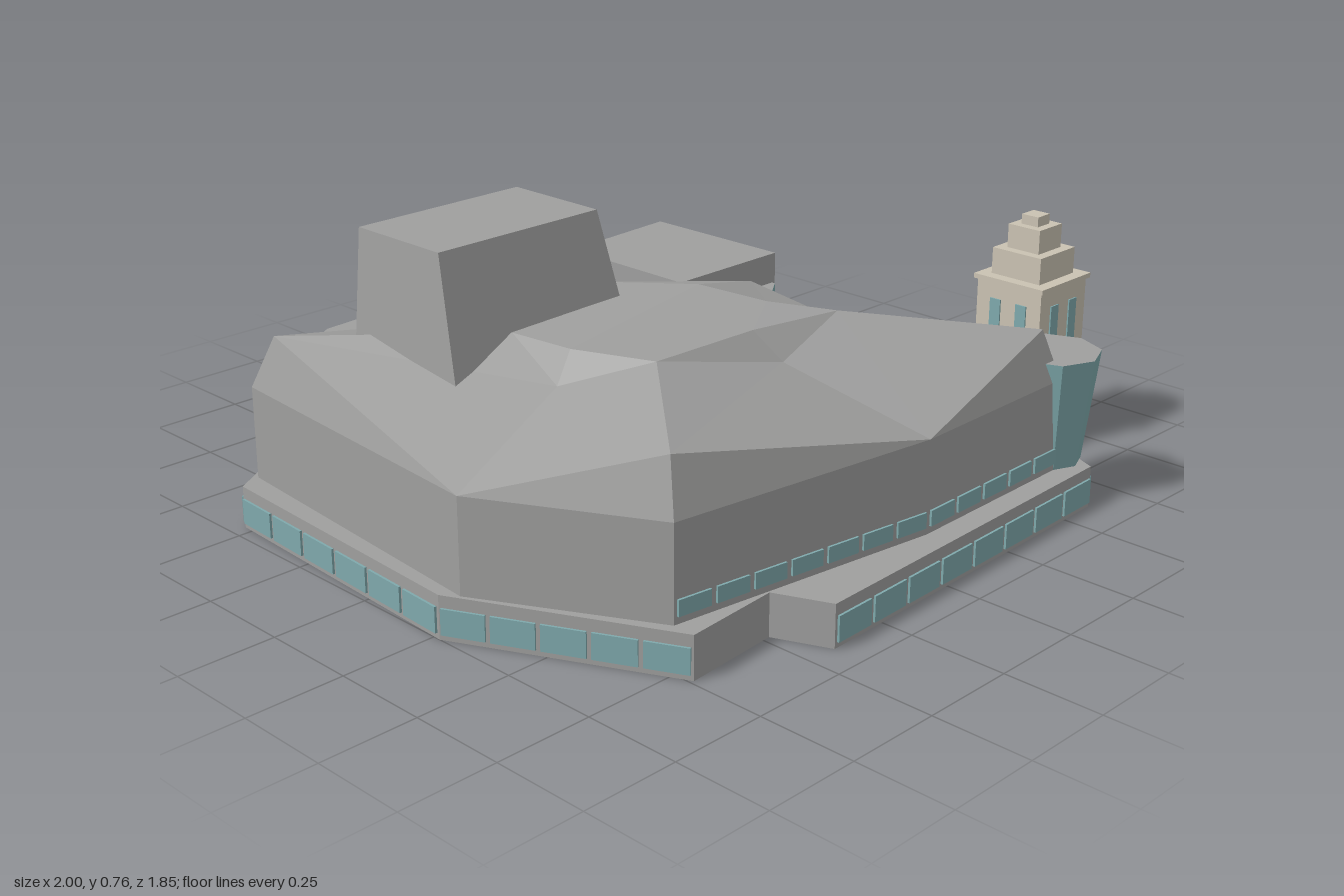
import * as THREE from 'three';

const material = (name, color) => new THREE.MeshStandardMaterial({ name, color, side: THREE.DoubleSide });

export function createModel() {
  const concrete = material('concrete grey', 0x9f9f9e);
  const glass = material('teal glass', 0x7fa9ac);
  const stone = material('pale stone', 0xcac2b2);
  const model = new THREE.Group();

  const add = (parent, name, geometry, mat) => {
    const mesh = new THREE.Mesh(geometry, mat);
    mesh.name = name;
    parent.add(mesh);
    return mesh;
  };

  // Flat-shaded surface from a list of triangles made of [x, y, z] corners
  const facets = (triangles) => {
    const geometry = new THREE.BufferGeometry();
    geometry.setAttribute('position', new THREE.Float32BufferAttribute(triangles.flat(2), 3));
    geometry.computeVertexNormals();
    return geometry;
  };

  // Walls and roof over an [x, z] outline, open below; top outline may taper
  const prism = (parent, name, outline, y0, y1, wallMat, roofMat = wallMat, top = outline) => {
    const group = new THREE.Group();
    group.name = name;
    const walls = [];
    outline.forEach(([ax, az], i) => {
      const j = (i + 1) % outline.length;
      const a = [ax, y0, az], b = [outline[j][0], y0, outline[j][1]];
      const c = [top[j][0], y1, top[j][1]], d = [top[i][0], y1, top[i][1]];
      walls.push([a, d, c], [a, c, b]);
    });
    add(group, name + 'Walls', facets(walls), wallMat);
    const shape = new THREE.Shape(top.map(([x, z]) => new THREE.Vector2(x, -z)));
    const roof = new THREE.ShapeGeometry(shape).rotateX(-Math.PI / 2).translate(0, y1, 0);
    add(group, name + 'Roof', roof, roofMat);
    parent.add(group);
  };

  // Clockwise seen from above
  const rect = (x0, x1, z0, z1) => [[x0, z0], [x1, z0], [x1, z1], [x0, z1]];

  // Row of thin panes just outside the wall from p to q
  const windows = (parent, name, p, q, y0, y1, paneLength = 0.13, fill = 0.9) => {
    const dx = q[0] - p[0], dz = q[1] - p[1], length = Math.hypot(dx, dz);
    const count = Math.max(1, Math.round(length / paneLength));
    for (let i = 0; i < count; i++) {
      const t = (i + 0.5) / count;
      const pane = add(parent, name, new THREE.BoxGeometry(length / count * fill, y1 - y0, 0.006), glass);
      pane.position.set(p[0] + dx * t + dz / length * 0.004, (y0 + y1) / 2, p[1] + dz * t - dx / length * 0.004);
      pane.rotation.y = -Math.atan2(dz, dx);
    }
  };

  // Ground storey
  const curve = [[0.9, -0.41], [0.76, -0.325], [0.65, -0.24], [0.54, -0.12], [0.46, 0.01], [0.37, 0.14]];
  const base = [
    [-0.96, -0.53], [-0.46, -0.84], [0.89, -0.92], ...curve, [0.39, 0.27], [0.45, 0.4], [0.45, 0.5],
    [0.66, 0.53], [0.71, 0.66], [0.61, 0.885], [-0.42, 0.92], [-0.48, 0.78], [-0.74, 0.8], [-1, 0.27],
  ];
  prism(model, 'groundStorey', base, 0, 0.11, concrete);
  const blank = new Set([10, 11, 12, 15, 16]);
  base.forEach((p, i) => {
    if (!blank.has(i)) windows(model, 'groundWindow', p, base[(i + 1) % base.length], 0.015, 0.08);
  });

  // Rear wings and the low link between them
  prism(model, 'rearWing', [[-0.67, -0.52], [-0.67, -0.71], [-0.46, -0.838], [0.29, -0.883], [0.29, -0.52]], 0.11, 0.32, concrete);
  prism(model, 'cornerWing', [[0.49, -0.895], [0.888, -0.918], [0.895, -0.44], [0.49, -0.44]], 0.11, 0.32, concrete);
  prism(model, 'rearLink', [[0.29, -0.883], [0.49, -0.895], [0.49, -0.44], [0.29, -0.44]], 0.11, 0.23, concrete);
  const inner = curve.map(([x, z]) => [x - 0.008, z - 0.008]);
  inner[0] = [0.885, -0.43];
  prism(model, 'curvedAtrium', [[-0.14, -0.51], [0.29, -0.51], [0.29, -0.445], [0.88, -0.445], ...inner, [0.28, 0.1]],
    0.11, 0.229, glass, concrete);

  // Main hall walls
  const eaves = [[-0.9, -0.55], [-0.97, 0.31], [-0.74, 0.74], [0, 0.84], [0.53, 0.83], [0.42, 0.47], [0.32, 0], [-0.14, -0.52]];
  const hall = [];
  eaves.forEach(([x, z], i) => {
    const [u, v] = eaves[(i + 1) % 8];
    hall.push([[x, 0.11, z], [u, 0.11, v], [u, 0.35, v]], [[x, 0.11, z], [u, 0.35, v], [x, 0.35, z]]);
  });
  add(model, 'hallWalls', facets(hall), concrete);
  for (let i = 2; i < 6; i++) windows(model, 'hallWindow', eaves[i + 1], eaves[i], 0.13, 0.17, 0.1, 0.85);

  // Faceted hall roof: eaves (w), raised corners (r), creases (n), plateau (a to h)
  const [w0, w1, w2, w3, w4, w5, w6, w7] = eaves.map(([x, z]) => [x, 0.35, z]);
  const r0 = [-0.86, 0.485, -0.5], r2 = [-0.71, 0.485, 0.7], r4 = [0.5, 0.48, 0.79], r6 = [0.28, 0.48, 0.02];
  const n0 = [-0.45, 0.42, -0.36], n1 = [-0.6, 0.48, 0.23], n2 = [-0.12, 0.48, 0.49], n3 = [0.09, 0.48, 0.3];
  const a = [-0.54, 0.54, 0.01], b = [-0.53, 0.545, 0.2], c = [-0.46, 0.55, 0.41], d = [-0.15, 0.55, 0.42];
  const e = [0.11, 0.545, 0.46], f = [0.03, 0.55, 0.3], g = [0.01, 0.55, 0.09], h = [-0.13, 0.545, -0.1];
  add(model, 'hallRoof', facets([
    [w0, w1, r0], [w7, w0, r0], [w1, w2, r2], [w2, w3, r2],
    [w3, w4, r4], [w4, w5, r4], [w5, w6, r6], [w6, w7, r6],
    [r0, w1, n1], [w1, r2, n1], [r0, n1, a], [n1, b, a], [n1, c, b], [n1, r2, c],
    [r2, w3, n2], [r2, n2, c], [n2, d, c], [n2, e, d], [w3, e, n2], [w3, r4, e],
    [r4, w5, e], [e, w5, n3], [w5, r6, n3], [e, n3, f], [n3, g, f], [n3, r6, g],
    [g, r6, h], [r6, w7, h], [h, w7, n0], [w7, r0, n0], [r0, a, n0], [a, h, n0],
    [a, b, h], [b, g, h], [b, f, g], [b, c, f], [c, d, f], [d, e, f],
  ]), concrete);

  // Tapered roof block
  prism(model, 'roofBlock', rect(-0.738, -0.17, -0.345, 0.045), 0.4, 0.76, concrete, concrete, rect(-0.705, -0.205, -0.345, -0.05));

  // Flared glass entrance drum
  const drum = add(model, 'entranceDrum', new THREE.CylinderGeometry(0.12, 0.085, 0.29, 8, 1, true).toNonIndexed(), glass);
  drum.geometry.computeVertexNormals();
  drum.position.set(0.585, 0.255, 0.77);
  const lid = add(model, 'drumRoof', new THREE.CircleGeometry(0.12, 8).rotateX(-Math.PI / 2), concrete);
  lid.position.set(0.585, 0.4, 0.77);

  // Stepped stone tower
  const tower = new THREE.Group();
  tower.name = 'tower';
  model.add(tower);
  const cx = 0.888, cz = 0.485;
  const tiers = [[0.102, 0, 0.455], [0.11, 0.455, 0.468], [0.077, 0.468, 0.54], [0.05, 0.54, 0.605], [0.026, 0.605, 0.632]];
  tiers.forEach(([s, y0, y1], i) =>
    prism(tower, 'towerTier' + (i + 1), rect(cx - s, cx + s, cz - s, cz + s), y0, y1, stone));
  prism(tower, 'towerAnnex', rect(0.727, 0.888, 0.352, 0.612), 0, 0.13, stone);
  add(tower, 'corniceUnderside', new THREE.PlaneGeometry(0.22, 0.22).rotateX(Math.PI / 2), stone).position.set(cx, 0.455, cz);

  // Tall tower windows, two on each side
  for (let k = 0; k < 4; k++) {
    const side = new THREE.Group();
    side.name = 'towerWindows';
    side.position.set(cx, 0.27, cz);
    side.rotation.y = k * Math.PI / 2;
    for (const x of [-0.041, 0.041])
      add(side, 'towerWindow', new THREE.BoxGeometry(0.033, 0.28, 0.006), glass).position.set(x, 0, 0.103);
    tower.add(side);
  }
  return model;
}
